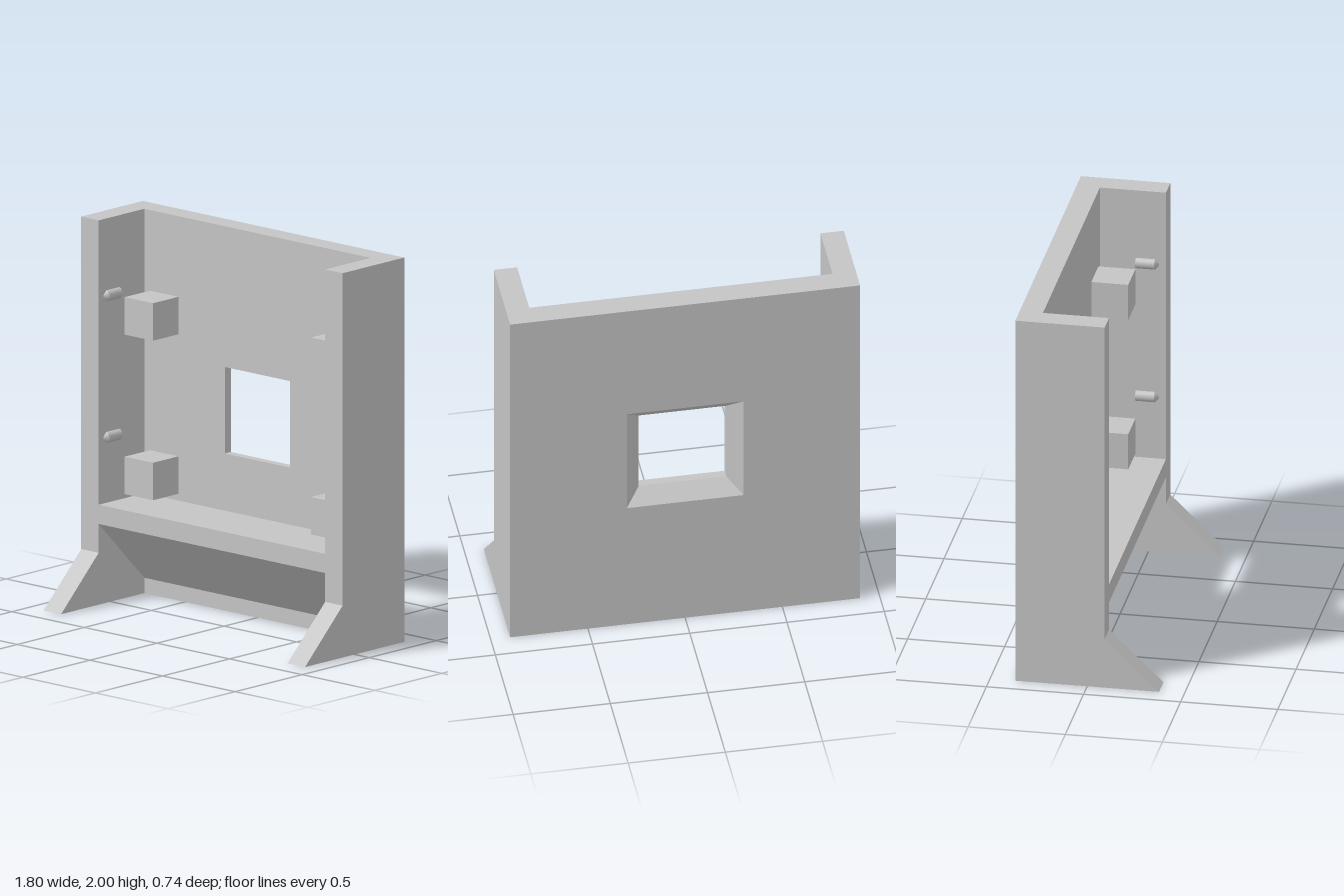
import * as THREE from 'three';

const bodyGrey = new THREE.MeshStandardMaterial({ color: 0xc4c4c4 });
bodyGrey.name = 'bodyGrey';

// Side profile given as [z, y] points, extruded along x and centred on x = 0
function profileAlongX(points, width) {
  const shape = new THREE.Shape(points.map(([z, y]) => new THREE.Vector2(z, y)));
  const geo = new THREE.ExtrudeGeometry(shape, { depth: width, bevelEnabled: false });
  return geo.rotateY(-Math.PI / 2).translate(width / 2, 0, 0);
}

// Panel with a square window whose rear edge flares outward
function backPanelGeometry() {
  const w = 0.78, h = 0.225, cy = 1.0425, flareDepth = 0.075, flareScale = 4 / 3;
  const shape = new THREE.Shape([
    new THREE.Vector2(-w, 0), new THREE.Vector2(w, 0),
    new THREE.Vector2(w, 2), new THREE.Vector2(-w, 2),
  ]);
  shape.holes.push(new THREE.Path([
    new THREE.Vector2(-h, cy - h), new THREE.Vector2(-h, cy + h),
    new THREE.Vector2(h, cy + h), new THREE.Vector2(h, cy - h),
  ]));
  const geo = new THREE.ExtrudeGeometry(shape, { depth: 0.12, steps: 2, bevelEnabled: false });
  const p = geo.attributes.position;
  for (let i = 0; i < p.count; i++) {
    const z = p.getZ(i);
    if (z > 0.01 && z < 0.11) p.setZ(i, flareDepth);
    if (z < 0.01 && Math.abs(p.getX(i)) < 0.3) {
      p.setX(i, p.getX(i) * flareScale);
      p.setY(i, cy + (p.getY(i) - cy) * flareScale);
    }
  }
  geo.computeVertexNormals();
  return geo.translate(0, 0, -0.37);
}

export function createModel() {
  const model = new THREE.Group();
  model.name = 'wallHolder';
  const add = (name, geo, x = 0, y = 0, z = 0) => {
    const mesh = new THREE.Mesh(geo, bodyGrey);
    mesh.name = name;
    mesh.position.set(x, y, z);
    model.add(mesh);
  };

  add('backPanel', backPanelGeometry());

  // Shelf with a sloping underside
  add('shelf', profileAlongX([[-0.25, 0.08], [0.09, 0.42], [0.09, 0.52], [-0.25, 0.52]], 1.56));

  const wall = profileAlongX([[-0.37, 0], [0.37, 0], [0.09, 0.27], [0.09, 2], [-0.37, 2]], 0.12);
  const spacer = new THREE.BoxGeometry(0.195, 0.195, 0.19);
  // Retaining peg lying along z, with a tapered front tip
  const peg = new THREE.LatheGeometry([
    new THREE.Vector2(0, -0.065), new THREE.Vector2(0.03, -0.065), new THREE.Vector2(0.03, -0.065),
    new THREE.Vector2(0.03, 0.033), new THREE.Vector2(0.03, 0.033),
    new THREE.Vector2(0.01, 0.053), new THREE.Vector2(0, 0.053),
  ], 24).rotateX(Math.PI / 2);

  for (const side of [1, -1]) {
    const label = side > 0 ? 'left' : 'right';
    add(label + 'Wall', wall, side * 0.84);
    for (const y of [0.653, 1.483]) add(label + 'Spacer', spacer, side * 0.642, y, -0.155);
    for (const y of [0.86, 1.597]) add(label + 'Peg', peg, side * 0.788, y, 0);
  }
  return model;
}
